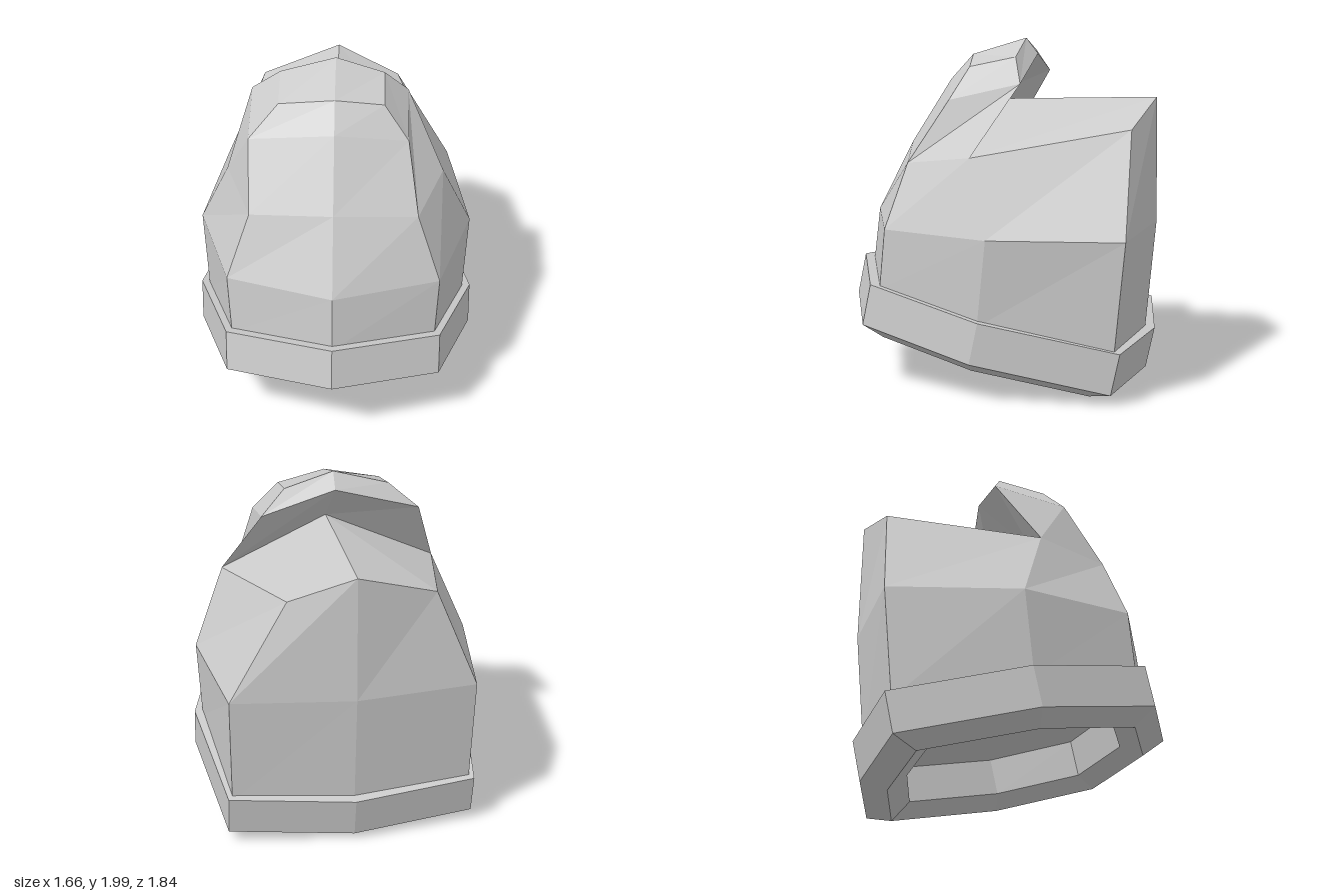
import * as THREE from 'three';

const material = new THREE.MeshStandardMaterial({ color: 0xcccccc, flatShading: true });

// Collects convex polygons as flat-shaded triangles
class Faces {
  constructor() { this.pos = []; }
  poly(side, ...pts) {
    const p = side > 0 ? pts : pts.slice().reverse();
    for (let i = 1; i < p.length - 1; i++) this.pos.push(...p[0], ...p[i], ...p[i + 1]);
  }
  // Quads between two rows of points, lower row first
  strip(side, low, high) {
    for (let i = 0; i < Math.min(low.length, high.length) - 1; i++) {
      this.poly(side, low[i], low[i + 1], high[i + 1], high[i]);
    }
  }
  mesh(name) {
    const g = new THREE.BufferGeometry();
    g.setAttribute('position', new THREE.Float32BufferAttribute(this.pos, 3));
    g.computeVertexNormals();
    const m = new THREE.Mesh(g, material);
    m.name = name;
    return m;
  }
}

// Body with gabled back and the hood rising over it, built per side
function addShell(group) {
  const body = new Faces(), hood = new Faces();
  for (const s of [1, -1]) {
    const row = (...pts) => pts.map(([x, y, z]) => [x * s, y, z]);
    // the two sides differ slightly in width near the top
    const [hx, tx, rx] = s > 0 ? [0.42, 0.28, 0.37] : [0.49, 0.32, 0.46];

    // rows run from front centre round the side to back centre
    const base = row([0, 0.62, 0.815], [0.59, 0.58, 0.605], [0.78, 0.44, -0.015], [0.69, 0.28, -0.775], [0, 0.26, -0.86]);
    const waist = row([0, 0.95, 0.775], [0.61, 0.94, 0.565], [0.81, 0.94, -0.07], [0.7, 0.94, -0.835], [0, 0.94, -0.92]);
    const chest = row([0, 1.37, 0.56], [0.48, 1.31, 0.46], [0.63, 1.37, 0.06], [rx, 1.52, -0.815], [0, 1.67, -0.91]);
    const brow = row([0, 1.75, 0.32], [hx, 1.67, 0.23], [hx, 1.77, -0.185]);
    const top = row([0, 1.9, 0.185], [tx, 1.85, 0.14], [tx, 1.91, -0.13]);
    const [crown, rim, ridge] = row([0, 2, -0.135], [0, 1.91, -0.205], [0, 1.635, 0.13]);
    const notch = chest[2];

    body.strip(s, base, waist);
    body.strip(s, waist, chest);
    body.poly(s, notch, chest[3], chest[4], ridge); // roof

    hood.strip(s, chest, brow);
    hood.strip(s, brow, top);
    hood.poly(s, ...top, crown);
    hood.poly(s, crown, top[2], brow[2], rim); // back bevel
    hood.poly(s, rim, brow[2], notch, ridge); // underside
  }
  group.add(body.mesh('body'), hood.mesh('hood'));
}

// Tilted collar: one plan outline swept through a closed profile
function makeCollar() {
  const half = [[0, 0.914], [0.62, 0.69], [0.83, -0.005], [0.715, -0.805], [0, -0.914]];
  const plan = [...half, ...half.slice(1, 4).reverse().map(([x, z]) => [-x, z]), half[0]];
  // [scale, height]: inner wall, underside lip, outer band, top ledge
  const profile = [[0.7, 0.22], [0.7, 0], [0.84, -0.073], [1, 0], [1, 0.245], [0.9, 0.245]];
  const loops = profile.map(([k, y]) => plan.map(([x, z]) => [x * k, y, z * k]));
  const f = new Faces();
  for (let i = 0; i < loops.length - 1; i++) f.strip(1, loops[i], loops[i + 1]);
  f.poly(-1, ...loops[0].slice(0, -1)); // ceiling of the recess
  const collar = f.mesh('collar');
  collar.rotation.x = -0.204;
  collar.position.set(0, 0.235, 0.025);
  return collar;
}

export function createModel() {
  const group = new THREE.Group();
  group.name = 'hoodedShell';
  addShell(group);
  group.add(makeCollar());
  return group;
}
